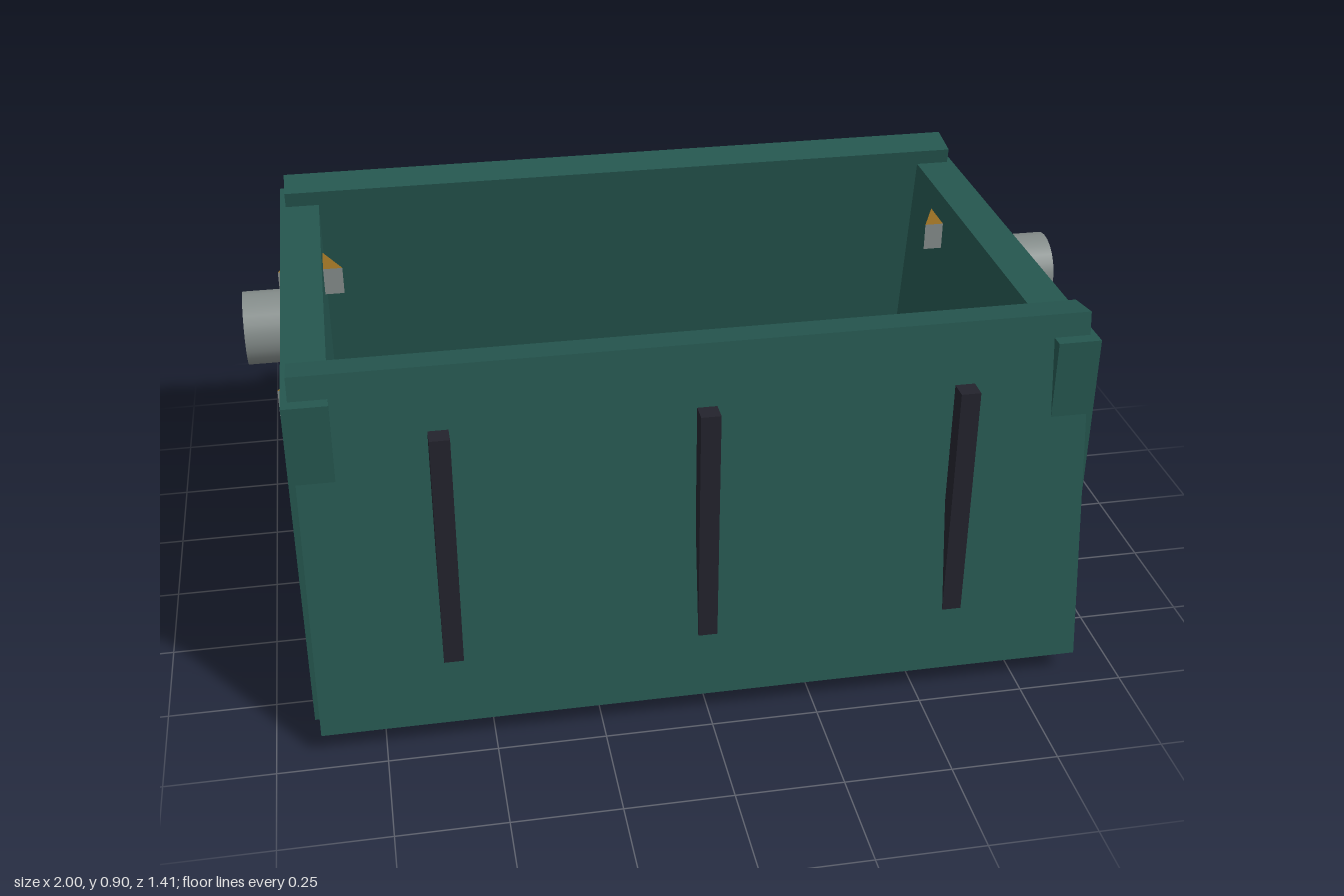
import * as THREE from 'three';

export function createModel() {
  const model = new THREE.Group();
  const paint = (name, color) => {
    const m = new THREE.MeshStandardMaterial({ color });
    m.name = name;
    return m;
  };
  const green = paint('dark green', 0x25564f);
  const dark = paint('charcoal', 0x23232d);
  const steel = paint('steel grey', 0x838b89);
  const gold = paint('gold', 0x966d22);

  const add = (name, geometry, material, x, y, z) => {
    const mesh = new THREE.Mesh(geometry, material);
    mesh.name = name;
    mesh.position.set(x, y, z);
    model.add(mesh);
    return mesh;
  };
  const box = (w, h, d) => new THREE.BoxGeometry(w, h, d);

  // floor slab, open around its edges
  add('floor', box(1.59, 0.09, 0.96), dark, 0, 0.045, 0);

  // leaning long walls with upright ribs
  for (const s of [1, -1]) {
    const wall = add(s > 0 ? 'frontWall' : 'backWall', box(1.79, 0.86, 0.095), green, 0, 0.4725, s * 0.588);
    wall.rotation.x = -s * 0.163;
    for (const x of [-0.585, 0, 0.585]) {
      add('rib', box(0.045, 0.625, 0.045), dark, x, 0.4725, s * 0.6575);
    }
  }

  // triangular latch: gold caps, steel sides, flat side towards the front
  const triangle = new THREE.Shape([
    new THREE.Vector2(-0.08, 0),
    new THREE.Vector2(0.08, 0),
    new THREE.Vector2(0, 0.17),
  ]);
  const latch = new THREE.ExtrudeGeometry(triangle, { depth: 0.07, bevelEnabled: false });
  latch.rotateX(-Math.PI / 2);

  const trunnion = new THREE.CylinderGeometry(0.088, 0.088, 0.14, 24);
  trunnion.rotateZ(Math.PI / 2);

  // end plates and their fittings
  for (const s of [1, -1]) {
    add(s > 0 ? 'leftEndPlate' : 'rightEndPlate', box(0.1, 0.825, 1.21), green, s * 0.86, 0.4375, 0);
    add('trunnion', trunnion, steel, s * 0.93, 0.747, 0);
    for (const z of [-0.23, 0.39]) {
      add('latch', latch, [gold, steel], s * 0.842, 0.71, z);
    }
    // floor strips and bolts
    add('floorStrip', box(0.075, 0.04, 0.98), steel, s * 0.487, 0.095, 0);
    for (const z of [-0.275, 0.275]) {
      add('bolt', new THREE.CylinderGeometry(0.025, 0.025, 0.04, 10), steel, s * 0.585, 0.1, z);
    }
  }
  return model;
}
